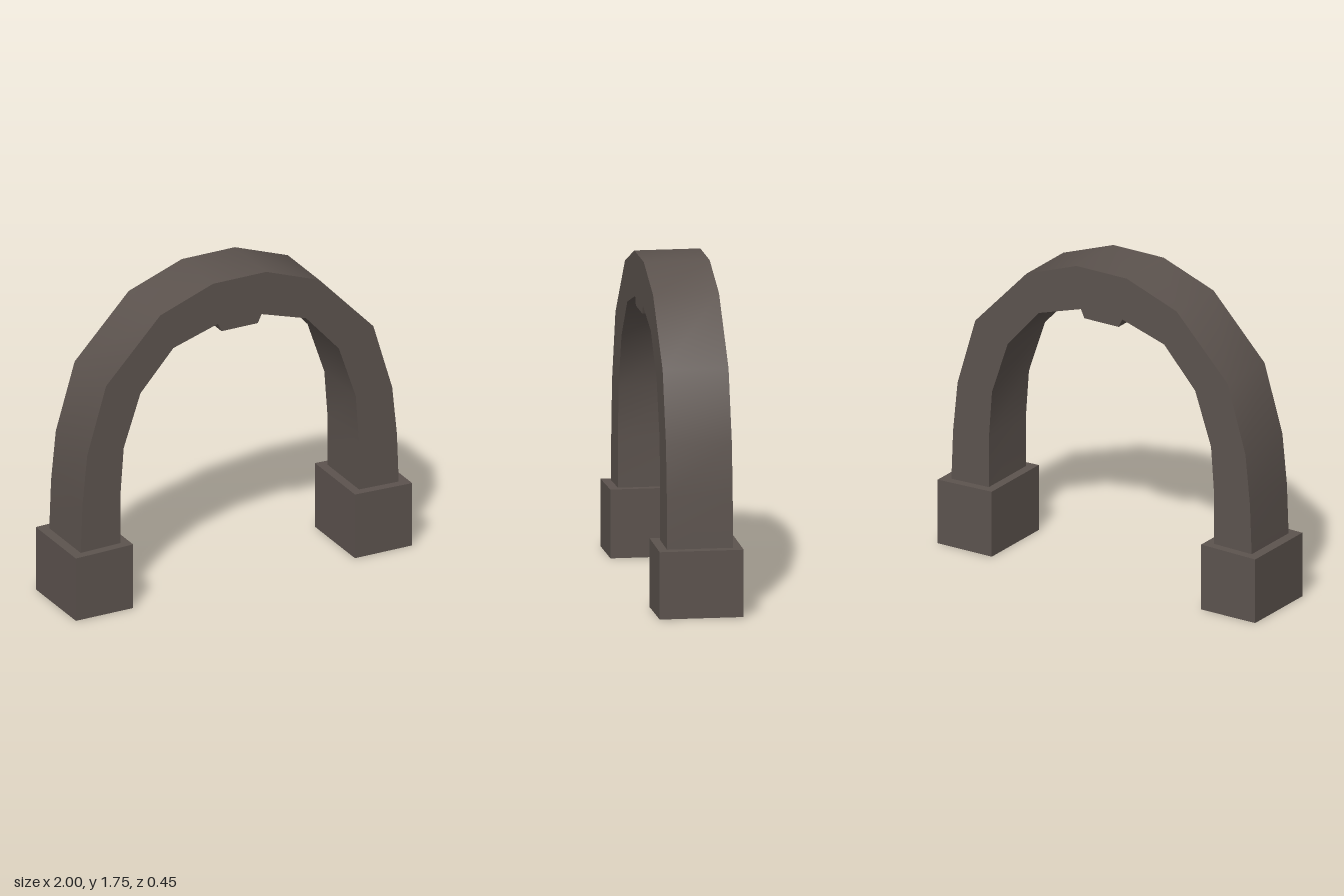
import * as THREE from 'three';
import { toCreasedNormals } from 'three/addons/utils/BufferGeometryUtils.js';

// Extrude an outline evenly about z = 0
function slab(points, depth) {
  const shape = new THREE.Shape(points.map(([x, y]) => new THREE.Vector2(x, y)));
  const geometry = new THREE.ExtrudeGeometry(shape, { depth, bevelEnabled: false });
  geometry.translate(0, 0, -depth / 2);
  return geometry;
}

export function createModel() {
  const model = new THREE.Group();
  model.name = 'archway';
  const stone = new THREE.MeshStandardMaterial({ color: 0x5c534e });
  stone.name = 'brown stone';

  // Half outline of the arch, from foot to crown outside, then crown to foot inside
  const outer = [[0.947, 0.33], [0.935, 0.64], [0.907, 0.915], [0.795, 1.292], [0.473, 1.63], [0.158, 1.745]];
  const inner = [[0.108, 1.46], [0.13, 1.507], [0.395, 1.425], [0.59, 1.207], [0.69, 0.912], [0.71, 0.64], [0.71, 0.33]];
  const mirror = (points) => points.map(([x, y]) => [-x, y]).reverse();

  // Arch with keystone, softly shaded along the curve
  const outline = [...outer, ...mirror(outer), ...mirror(inner), ...inner];
  const arch = new THREE.Mesh(toCreasedNormals(slab(outline, 0.35), 0.6), stone);
  arch.name = 'arch';
  model.add(arch);

  // Plinths, tops sloping slightly outwards
  const plinth = [[0.66, 0], [1, 0], [1, 0.36], [0.66, 0.368]];
  for (const [name, points] of [['leftPlinth', plinth], ['rightPlinth', mirror(plinth)]]) {
    const mesh = new THREE.Mesh(slab(points, 0.446), stone);
    mesh.name = name;
    model.add(mesh);
  }
  return model;
}
